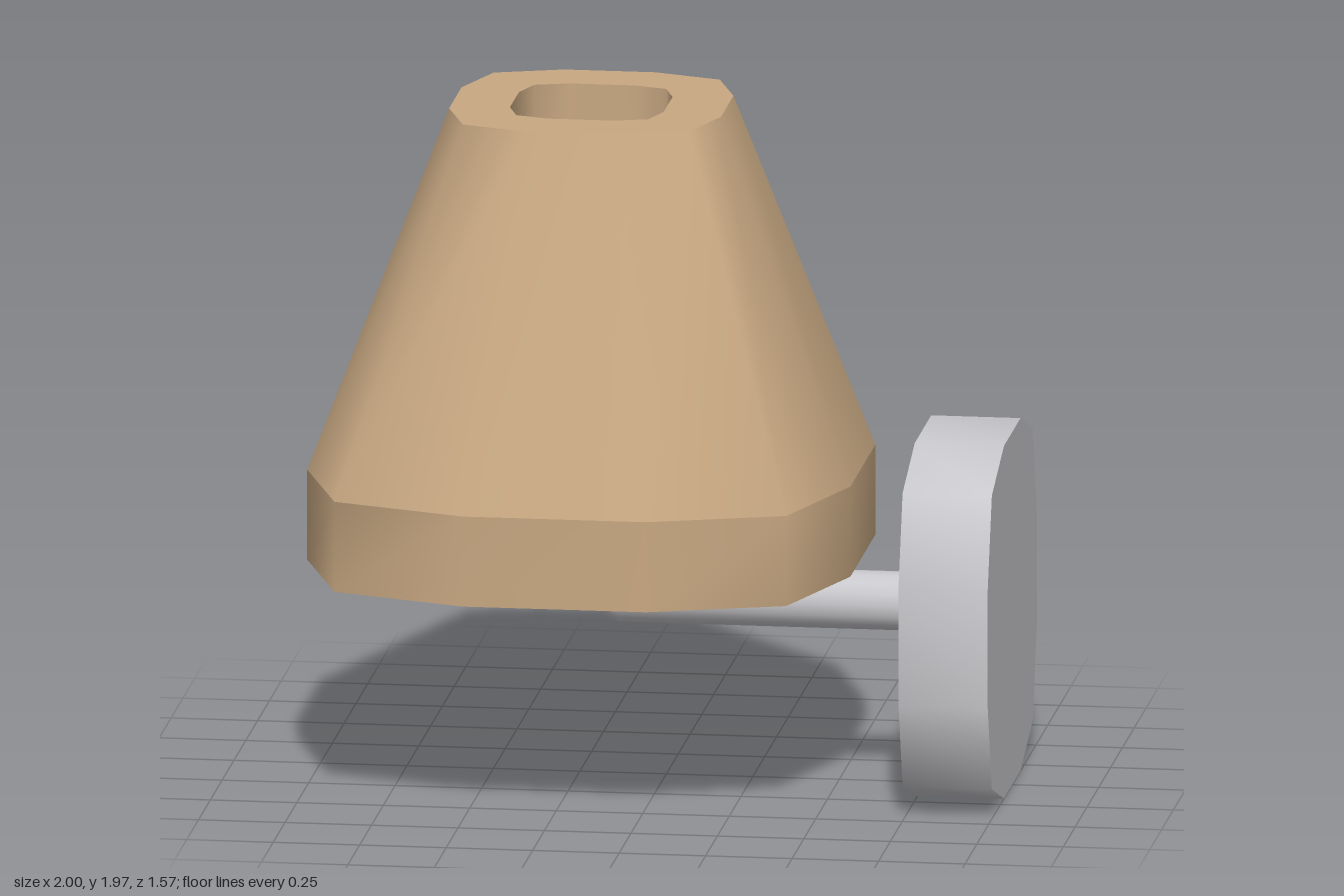
import * as THREE from 'three';
import { mergeGeometries } from 'three/addons/utils/BufferGeometryUtils.js';

// Skin a list of closed rings (equal point counts) with smooth normals
function loft(rings) {
  const n = rings[0].length, pos = [], index = [];
  rings.forEach(ring => ring.forEach(p => pos.push(p.x, p.y, p.z)));
  for (let i = 0; i < rings.length - 1; i++) {
    for (let j = 0; j < n; j++) {
      const a = i * n + j, b = i * n + (j + 1) % n;
      index.push(a, b, b + n, a, b + n, a + n);
    }
  }
  const geo = new THREE.BufferGeometry();
  geo.setAttribute('position', new THREE.Float32BufferAttribute(pos, 3));
  geo.setIndex(index);
  geo.computeVertexNormals();
  return geo;
}

// Twelve-sided rounded square; mid and diag are fractions of the half width r
function squircle(r, y, mid = 0.337, diag = 0.832) {
  const ring = [];
  for (let q = 0; q < 4; q++) {
    const c = [1, 0, -1, 0][q], s = [0, 1, 0, -1][q];
    for (const [a, b] of [[1, -mid], [1, mid], [diag, diag]]) {
      ring.push(new THREE.Vector3(r * (a * c - b * s), y, -r * (a * s + b * c)));
    }
  }
  return ring;
}

// Stack of rounded squares with a sharp edge at every profile point
function turned(profile) {
  const parts = [];
  for (let i = 0; i < profile.length - 1; i++) {
    parts.push(loft([squircle(...profile[i]), squircle(...profile[i + 1])]));
  }
  return mergeGeometries(parts);
}

export function createModel() {
  const group = new THREE.Group();
  const tan = new THREE.MeshStandardMaterial({ name: 'tan shade', color: 0xc8a882 });
  const metal = new THREE.MeshStandardMaterial({ name: 'grey metal', color: 0xc8c8cc });
  const add = (name, geo, mat) => {
    const mesh = new THREE.Mesh(geo, mat);
    mesh.name = name;
    group.add(mesh);
    return mesh;
  };
  const cx = -0.217;

  // Shade: closed base, straight band, tapered cone, rim and recess
  add('shade', turned([
    [0, 0.66], [0.785, 0.66], [0.785, 0.925], [0.393, 1.97],
    [0.222, 1.97, 0.43, 0.86], [0.222, 1.3, 0.43, 0.86], [0, 1.3],
  ]), tan).position.x = cx;

  // Wall plate: the same outline turned to face sideways
  const plate = turned([[0, 0.742], [0.519, 0.742], [0.519, 1], [0, 1]]);
  plate.rotateZ(-Math.PI / 2);
  add('wallPlate', plate, metal).position.y = 0.519;

  // Arm: round bar from the plate with a tight elbow up into the shade
  const R = 0.086, elbow = new THREE.Vector3(cx + R, 0.617, 0);
  const rings = [[0.75, 0.617 - R, 0], [elbow.x, elbow.y - R, 0],
    [elbow.x - R * Math.SQRT1_2, elbow.y - R * Math.SQRT1_2, 45],
    [cx, elbow.y, 90], [cx, 0.67, 90]].map(([x, y, deg]) => {
    const t = THREE.MathUtils.degToRad(deg);
    const out = new THREE.Vector3(-Math.sin(t), -Math.cos(t), 0);
    return Array.from({ length: 16 }, (_, k) => {
      const a = k / 16 * Math.PI * 2;
      return new THREE.Vector3(x, y, 0)
        .addScaledVector(out, R * 0.995 * Math.cos(a))
        .add(new THREE.Vector3(0, 0, R * 0.995 * Math.sin(a)));
    });
  });
  add('arm', loft(rings), metal);

  return group;
}
